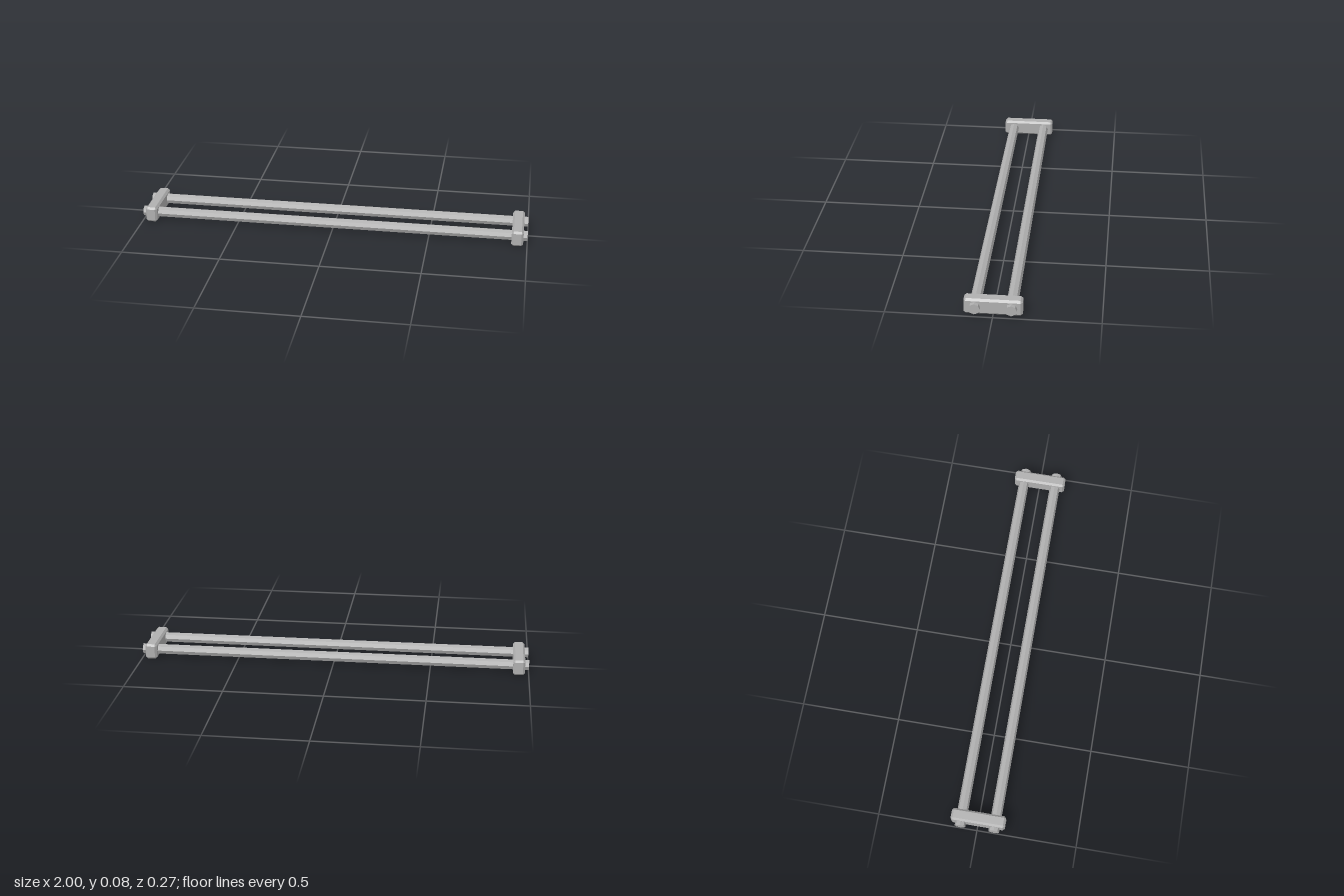
import * as THREE from 'three';
import { ConvexGeometry } from 'three/addons/geometries/ConvexGeometry.js';

// Box with every edge chamfered: hull of three points at each corner
function chamferedBox(w, h, d, c) {
  const points = [];
  for (const sx of [-1, 1]) for (const sy of [-1, 1]) for (const sz of [-1, 1]) {
    const x = w / 2, y = h / 2, z = d / 2;
    points.push(
      new THREE.Vector3(sx * x, sy * (y - c), sz * (z - c)),
      new THREE.Vector3(sx * (x - c), sy * y, sz * (z - c)),
      new THREE.Vector3(sx * (x - c), sy * (y - c), sz * z)
    );
  }
  return new ConvexGeometry(points);
}

export function createModel() {
  const model = new THREE.Group();
  model.name = 'railFrame';
  const metal = new THREE.MeshStandardMaterial({ color: 0xb0b0b0 });
  metal.name = 'grey metal';
  metal.flatShading = true;

  // Two long octagonal rods, running through the end brackets
  const rodGeometry = new THREE.CylinderGeometry(0.027, 0.027, 2, 8).rotateZ(Math.PI / 2);
  for (const side of [-1, 1]) {
    const rod = new THREE.Mesh(rodGeometry, metal);
    rod.name = side > 0 ? 'frontRod' : 'backRod';
    rod.position.set(0, 0.04, side * 0.085);
    model.add(rod);
  }

  // Chamfered bracket near each end
  const bracketGeometry = chamferedBox(0.06, 0.08, 0.273, 0.01);
  for (const side of [-1, 1]) {
    const bracket = new THREE.Mesh(bracketGeometry, metal);
    bracket.name = side > 0 ? 'leftBracket' : 'rightBracket';
    bracket.position.set(side * 0.95, 0.04, 0);
    model.add(bracket);
  }
  return model;
}
